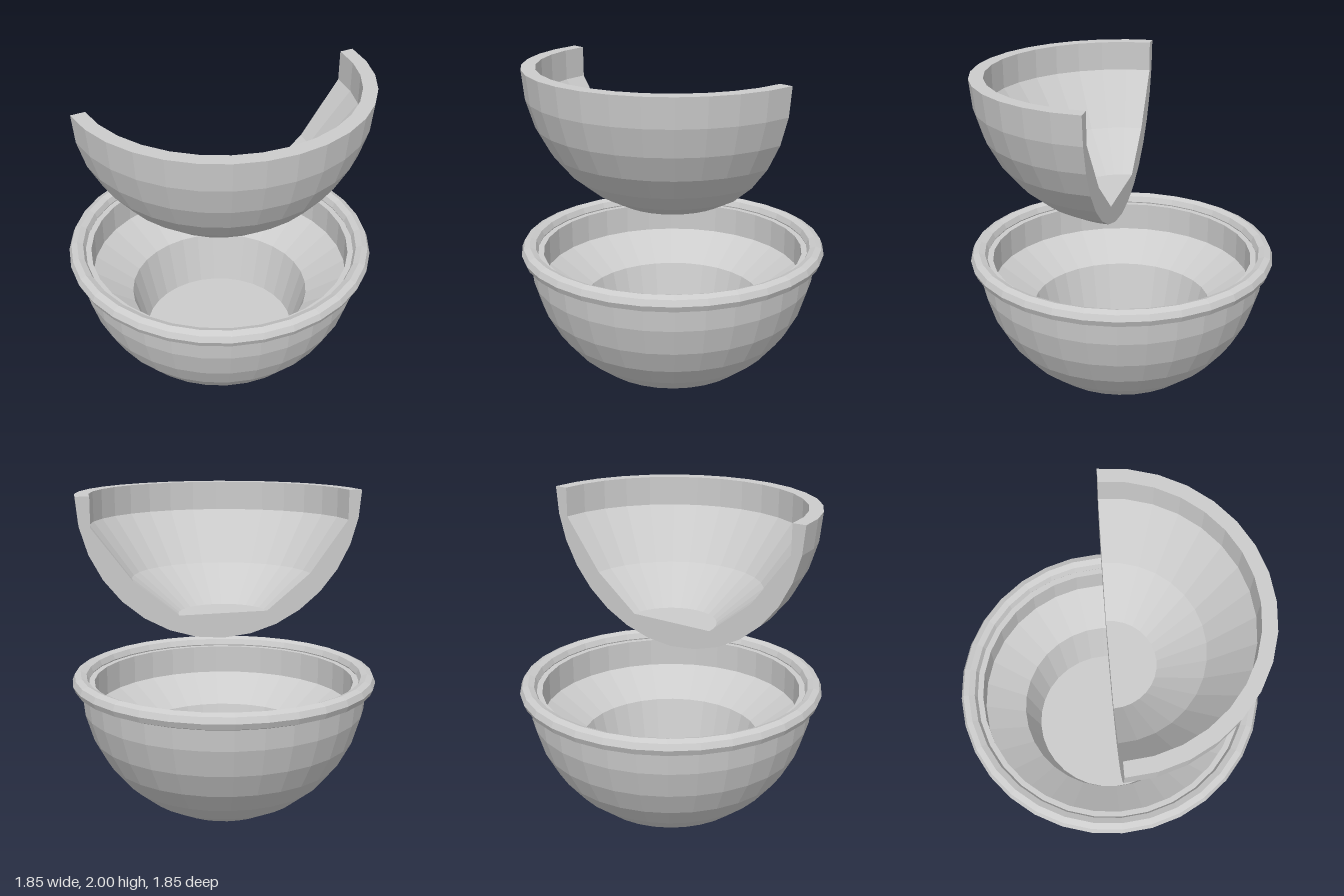
import * as THREE from 'three';

const R = 0.873;     // outer radius of both bowls
const SIDES = 32;

// Closed half-section: outer sphere arc from pole to rim, then the inner wall back to the axis
function bowlProfile(inner) {
  const pts = [];
  for (let i = 0; i <= 8; i++) {
    const a = (i / 8) * Math.PI / 2;
    pts.push(new THREE.Vector2(i === 0 ? 0 : R * Math.sin(a), i === 8 ? 0 : -R * Math.cos(a)));
  }
  for (const [r, y] of inner) pts.push(new THREE.Vector2(r, y));
  return pts;
}

export function createModel() {
  const group = new THREE.Group();
  const mat = new THREE.MeshStandardMaterial({ color: 0xcccccc, flatShading: true });

  const add = (name, geometry, y, parent = group) => {
    const mesh = new THREE.Mesh(geometry, mat);
    mesh.name = name;
    mesh.position.y = y;
    parent.add(mesh);
    return mesh;
  };

  // Lower bowl: full turn, with a stepped recess and flat floor
  const lower = bowlProfile([[0.79, 0], [0.79, -0.18], [0.55, -0.34], [0.47, -0.66], [0, -0.66]]);
  add('lowerBowl', new THREE.LatheGeometry(lower, SIDES), R);

  // Rounded rim around the lower bowl
  const rim = new THREE.TorusGeometry(R, 0.05, 8, SIDES);
  rim.rotateX(-Math.PI / 2);
  add('rim', rim, 0.88);

  // Upper half bowl: front half only, floating above
  const upperBowl = new THREE.Group();
  upperBowl.name = 'upperHalfBowl';
  upperBowl.position.y = 2;
  group.add(upperBowl);
  const upper = bowlProfile([[0.79, 0], [0.79, -0.18], [0.55, -0.5], [0.275, -0.72], [0, -0.72]]);
  add('upperShell', new THREE.LatheGeometry(upper, SIDES / 2, -Math.PI / 2, Math.PI), 0, upperBowl);

  // Flat cut face closing the half bowl at the back
  const mirrored = upper.slice(1, -1).reverse().map(p => new THREE.Vector2(-p.x, p.y));
  const cut = new THREE.ShapeGeometry(new THREE.Shape([...upper.slice(0, -1), ...mirrored]));
  cut.rotateY(Math.PI);
  add('cutFace', cut, 0, upperBowl);

  return group;
}
